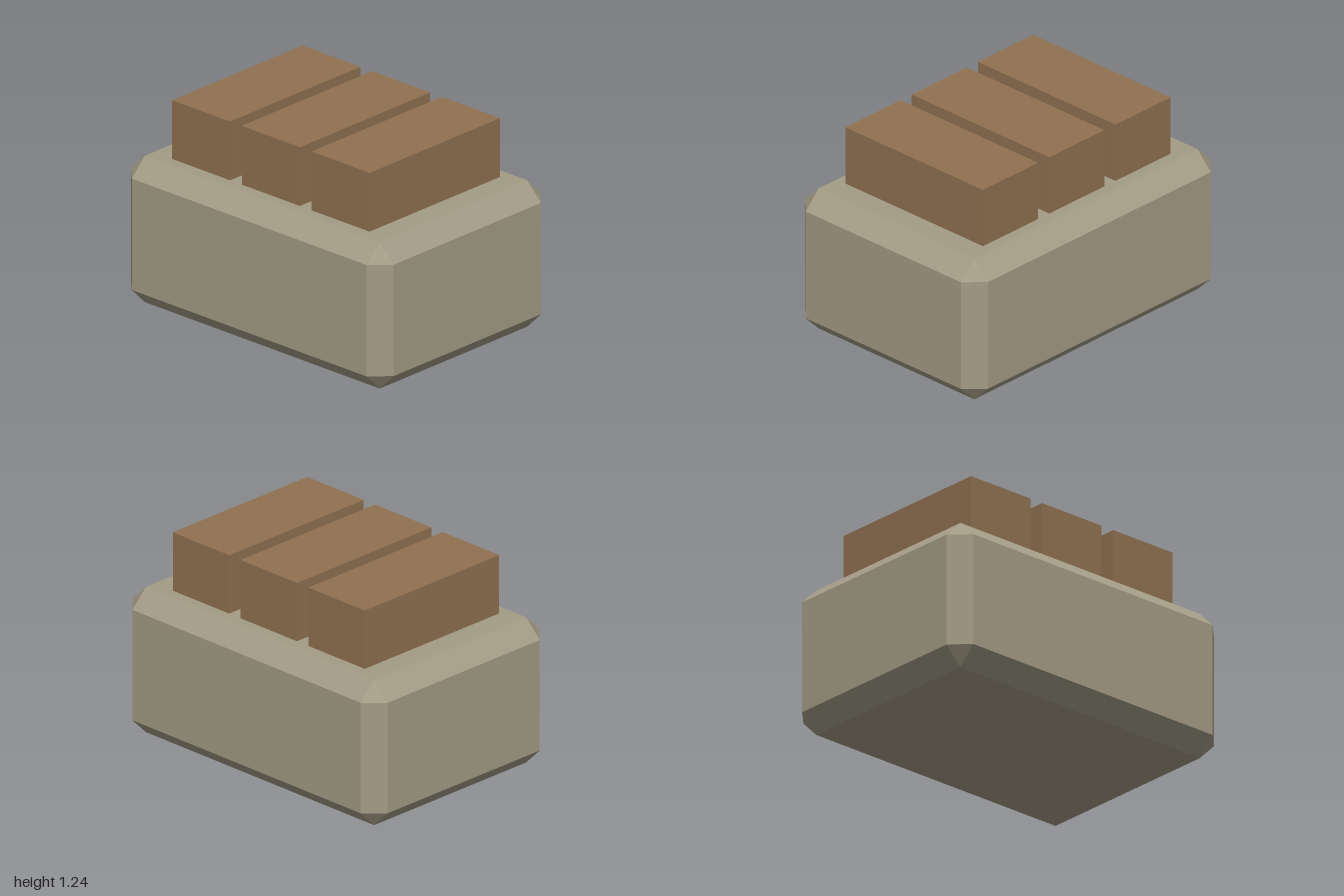
import * as THREE from 'three';
import { ConvexGeometry } from 'three/addons/geometries/ConvexGeometry.js';

// Box with every edge cut at 45 degrees: three points per corner
function chamferedBox(w, h, d, c) {
  const points = [];
  for (const sx of [-1, 1]) for (const sy of [-1, 1]) for (const sz of [-1, 1]) {
    const x = w / 2, y = h / 2, z = d / 2;
    points.push(
      new THREE.Vector3(sx * x, sy * (y - c), sz * (z - c)),
      new THREE.Vector3(sx * (x - c), sy * y, sz * (z - c)),
      new THREE.Vector3(sx * (x - c), sy * (y - c), sz * z)
    );
  }
  return new ConvexGeometry(points);
}

export function createModel() {
  const model = new THREE.Group();
  const stone = new THREE.MeshStandardMaterial({ color: 0xa39b85, flatShading: true });
  const wood = new THREE.MeshStandardMaterial({ color: 0x8f7150, flatShading: true });

  // Chamfered base block
  const bodyHeight = 0.885;
  const body = new THREE.Mesh(chamferedBox(2, bodyHeight, 1.41, 0.106), stone);
  body.name = 'body';
  body.position.y = bodyHeight / 2;
  model.add(body);

  // Three slabs side by side on top
  const top = 1.24, slabHeight = top - bodyHeight;
  const slabs = new THREE.Group();
  slabs.name = 'slabs';
  const slabGeometry = new THREE.BoxGeometry(0.442, slabHeight, 1.06);
  ['rightSlab', 'middleSlab', 'leftSlab'].forEach((name, i) => {
    const slab = new THREE.Mesh(slabGeometry, wood);
    slab.name = name;
    slab.position.set((i - 1) * 0.531, bodyHeight + slabHeight / 2, 0);
    slabs.add(slab);
  });
  model.add(slabs);

  return model;
}
